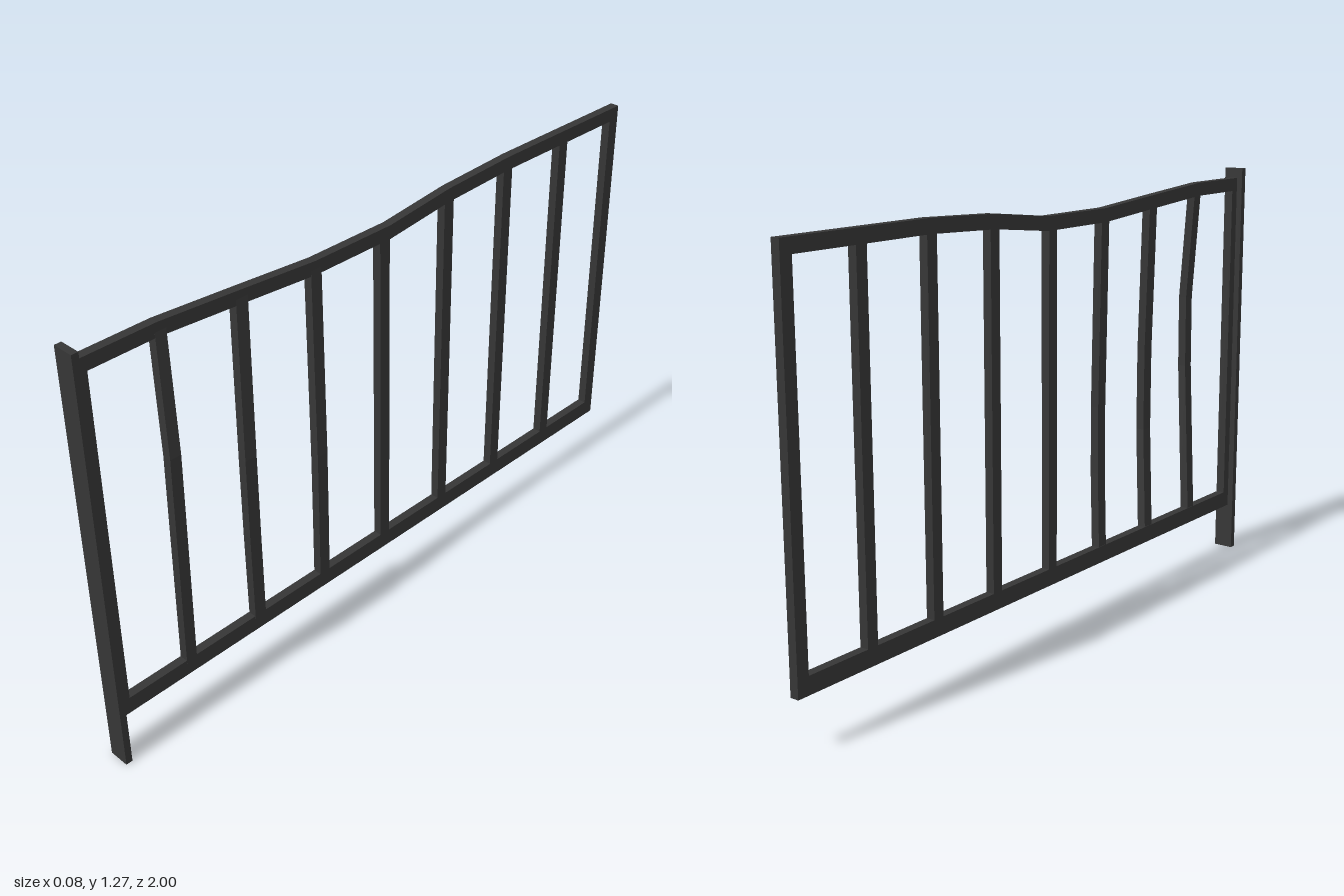
import * as THREE from 'three';

const DEPTH = 0.026; // thickness of the panel across x
const CX = -0.011;   // panel centre plane

export function createModel() {
  const gate = new THREE.Group();
  gate.name = 'gatePanel';
  const iron = new THREE.MeshStandardMaterial({ color: 0x363636, flatShading: true });

  const add = (name, geometry) => {
    const mesh = new THREE.Mesh(geometry, iron);
    mesh.name = name;
    gate.add(mesh);
  };

  // Box given by its limits in y and z
  const block = (name, y0, y1, z0, z1, width = DEPTH) => {
    const g = new THREE.BoxGeometry(width, y1 - y0, z1 - z0);
    g.translate(CX, (y0 + y1) / 2, (z0 + z1) / 2);
    add(name, g);
  };

  // Upright bar swept through stations [x offset, y, z], bottom to top
  const bar = (name, stations, width) => {
    const n = stations.length - 1;
    const g = new THREE.BoxGeometry(DEPTH, n, width, 1, n, 1);
    const p = g.attributes.position;
    for (let i = 0; i < p.count; i++) {
      const [dx, y, z] = stations[Math.round(p.getY(i) + n / 2)];
      p.setXYZ(i, p.getX(i) + CX + dx, y, p.getZ(i) + z);
    }
    add(name, g);
  };

  // Mounting post, bottom rail and end stiles
  block('post', 0, 1.27, 0.98, 1, 0.062);
  block('bottomRail', 0.147, 0.197, -1, 0.98);
  block('frontStile', 0.19, 1.21, 0.952, 0.98);
  block('rearStile', 0.19, 1.21, -1, -0.963);

  // Sagging top rail: [z, top height]
  const sag = [[-1, 1.24], [-0.5, 1.24], [-0.25, 1.229], [-0.02, 1.203],
    [0.25, 1.203], [0.5, 1.222], [0.75, 1.24], [0.98, 1.24]];
  const n = sag.length - 1;
  const rail = new THREE.BoxGeometry(DEPTH, 0.04, n, 1, 1, n);
  const p = rail.attributes.position;
  for (let i = 0; i < p.count; i++) {
    const [z, top] = sag[Math.round(p.getZ(i) + n / 2)];
    p.setXYZ(i, p.getX(i) + CX, p.getY(i) + top - 0.02, z);
  }
  add('topRail', rail);

  // Straight bars
  [[0, 1.185], [-0.25, 1.205], [-0.495, 1.215], [-0.743, 1.215]].forEach(([z, top], i) =>
    bar('straightBar' + (i + 1), [[0, 0.18, z], [0, top, z]], 0.036));

  // Bent bars, bulging sideways and towards the post
  bar('bentBar1', [[0, 0.18, 0.743], [0.034, 0.66, 0.762], [0.034, 0.88, 0.759], [0, 1.215, 0.743]], 0.034);
  bar('bentBar2', [[0, 0.18, 0.495], [0.029, 0.5, 0.521], [0.029, 0.75, 0.521], [0, 1.2, 0.495]], 0.038);
  bar('bentBar3', [[0, 0.18, 0.247], [0.016, 0.42, 0.26], [0.016, 0.62, 0.259], [0, 1.18, 0.248]], 0.036);

  return gate;
}
